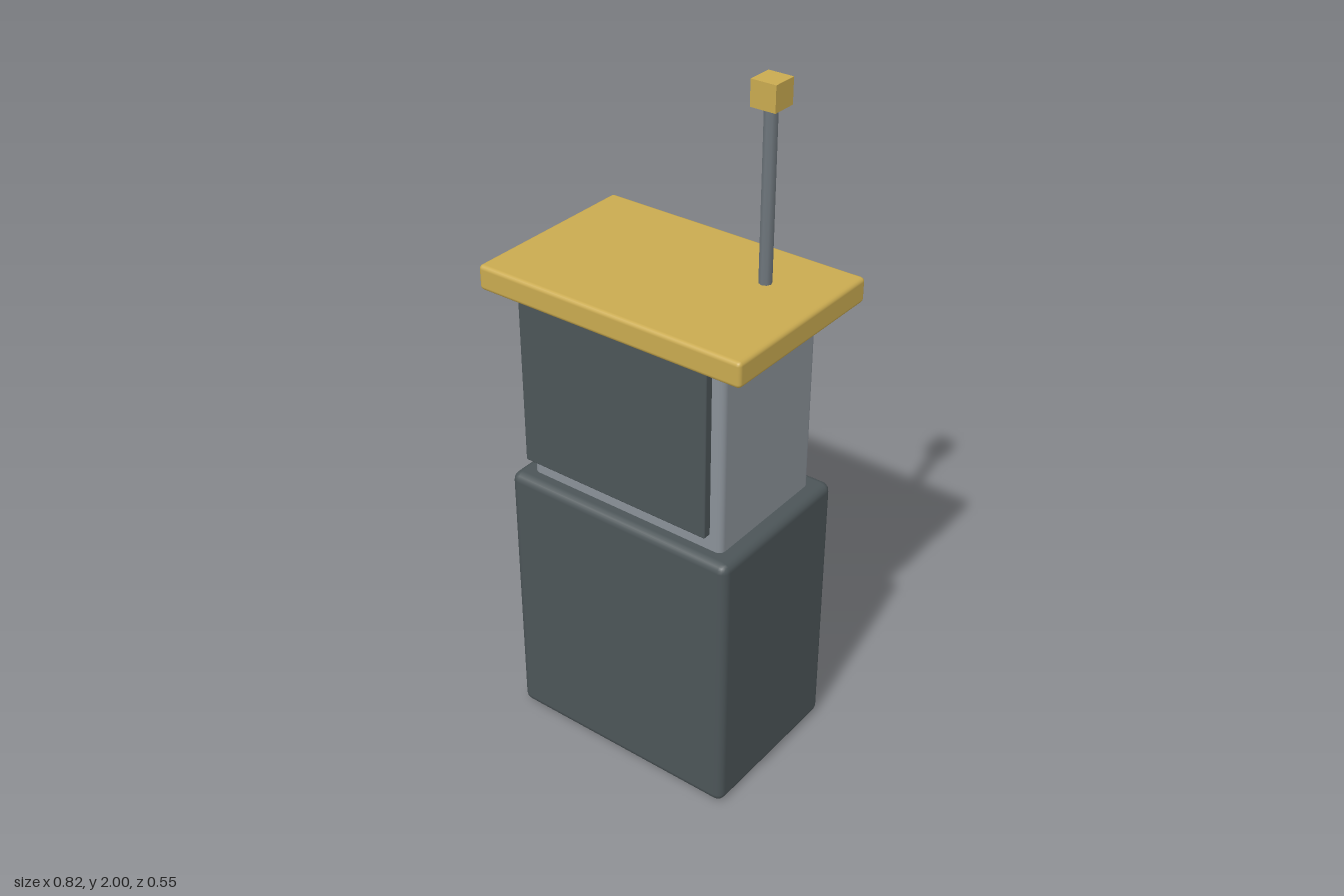
import * as THREE from 'three';
import { RoundedBoxGeometry } from 'three/addons/geometries/RoundedBoxGeometry.js';

export function createModel() {
  const model = new THREE.Group();
  const material = (name, color) => {
    const m = new THREE.MeshStandardMaterial({ color });
    m.name = name;
    return m;
  };
  const charcoal = material('charcoal', 0x4c5558);
  const grey = material('light grey', 0x8a9198);
  const steel = material('steel', 0x6e767c);
  const gold = material('gold', 0xc9aa50);

  const add = (name, geometry, mat, x, y, z) => {
    const mesh = new THREE.Mesh(geometry, mat);
    mesh.name = name;
    mesh.position.set(x, y, z);
    model.add(mesh);
  };
  // Rounded block given by its extents on each axis
  const block = (name, mat, [x0, x1], [y0, y1], [z0, z1], radius) => add(
    name,
    new RoundedBoxGeometry(x1 - x0, y1 - y0, z1 - z0, 2, radius),
    mat, (x0 + x1) / 2, (y0 + y1) / 2, (z0 + z1) / 2
  );

  // Stacked body
  block('lowerBody', charcoal, [-0.365, 0.365], [0, 0.825], [-0.25, 0.25], 0.025);
  block('upperBody', grey, [-0.318, 0.318], [0.78, 1.375], [-0.203, 0.203], 0.018);

  // Front panel on its backing plate
  block('panelBacking', grey, [-0.28, 0.28], [0.93, 1.37], [0.19, 0.228], 0.006);
  block('frontPanel', charcoal, [-0.3, 0.3], [0.895, 1.395], [0.226, 0.252], 0.004);

  // Overhanging top slab
  block('topSlab', gold, [-0.412, 0.412], [1.388, 1.46], [-0.274, 0.274], 0.012);

  // Mast with a cube at its tip
  add('mast', new THREE.CylinderGeometry(0.018, 0.018, 0.54, 8), steel, 0.228, 1.67, -0.093);
  add('mastTip', new THREE.BoxGeometry(0.073, 0.07, 0.073), gold, 0.228, 1.965, -0.093);

  return model;
}
